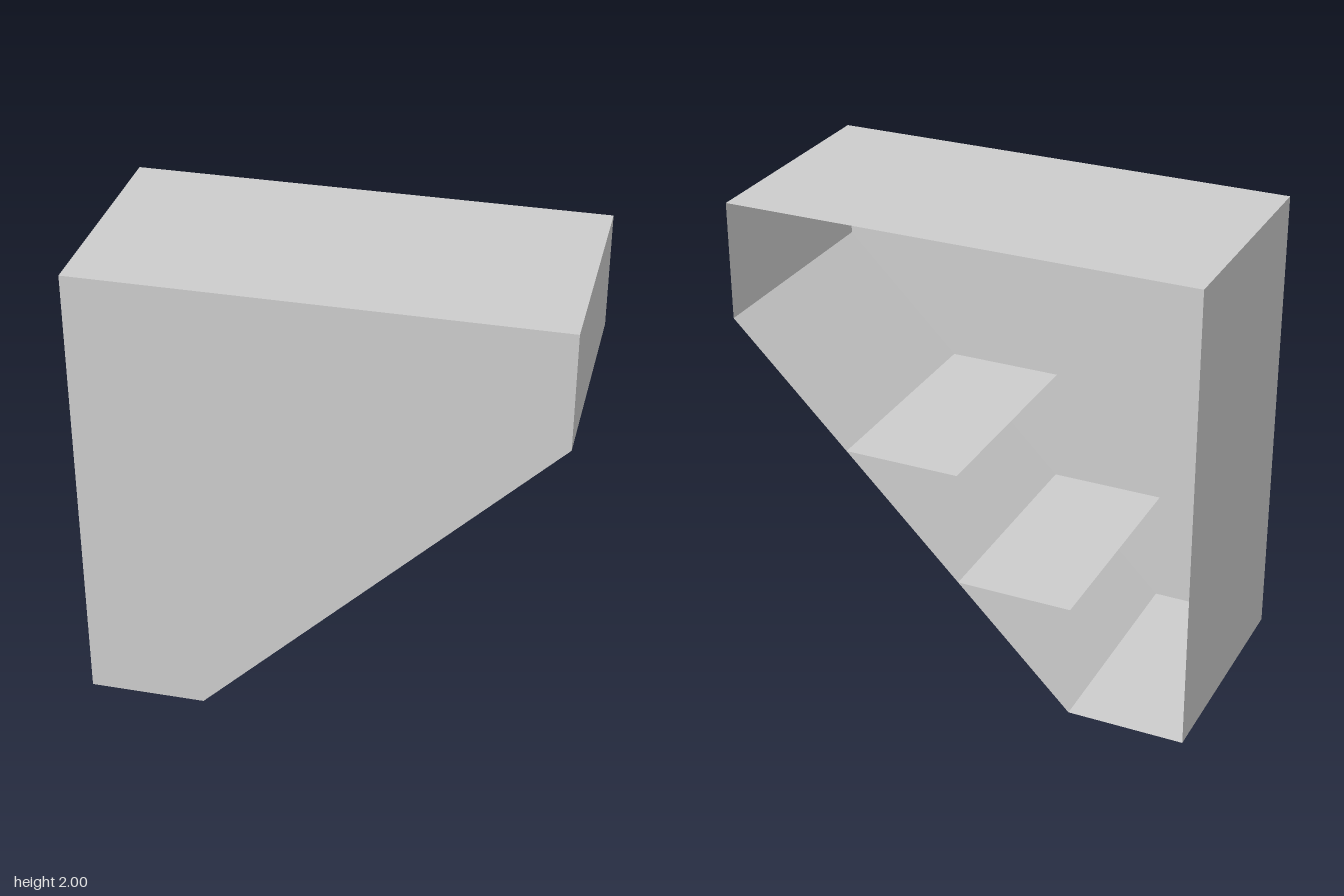
import * as THREE from 'three';

const HALF_DEPTH = 0.5;

// Flat sheet spanning the full depth between two points of the profile
function sheet(name, [x0, y0], [x1, y1], material) {
  const g = new THREE.BufferGeometry();
  const z = HALF_DEPTH;
  g.setAttribute('position', new THREE.Float32BufferAttribute([
    x0, y0, z, x0, y0, -z, x1, y1, -z, x1, y1, z,
  ], 3));
  g.setIndex([0, 2, 1, 0, 3, 2]);
  g.computeVertexNormals();
  // Outward faces for a counter-clockwise profile
  g.index.array.reverse();
  g.computeVertexNormals();
  const mesh = new THREE.Mesh(g, material);
  mesh.name = name;
  return mesh;
}

export function createModel() {
  const group = new THREE.Group();
  group.name = 'shelvedCabinet';
  const grey = new THREE.MeshStandardMaterial({ color: 0xcccccc, side: THREE.DoubleSide });
  grey.name = 'plain grey';

  // Outline seen from the front, counter-clockwise
  const outline = [[-1, 0], [-0.5, 0], [1, 1.5], [1, 2], [-1, 2]];
  const names = ['bottomPanel', 'slopingPanel', 'shortSidePanel', 'topPanel', 'tallSidePanel'];
  names.forEach((name, i) => {
    group.add(sheet(name, outline[i], outline[(i + 1) % outline.length], grey));
  });

  // Front panel closes the shell; the back stays open
  const shape = new THREE.Shape(outline.map(([x, y]) => new THREE.Vector2(x, y)));
  const front = new THREE.Mesh(new THREE.ShapeGeometry(shape), grey);
  front.name = 'frontPanel';
  front.position.z = HALF_DEPTH;
  group.add(front);

  // Shelves reach inward from the sloping panel
  [0.5, 1].forEach((y, i) => {
    const x = y - 0.5;
    group.add(sheet(`shelf${i + 1}`, [x, y], [x - 0.5, y], grey));
  });

  return group;
}
